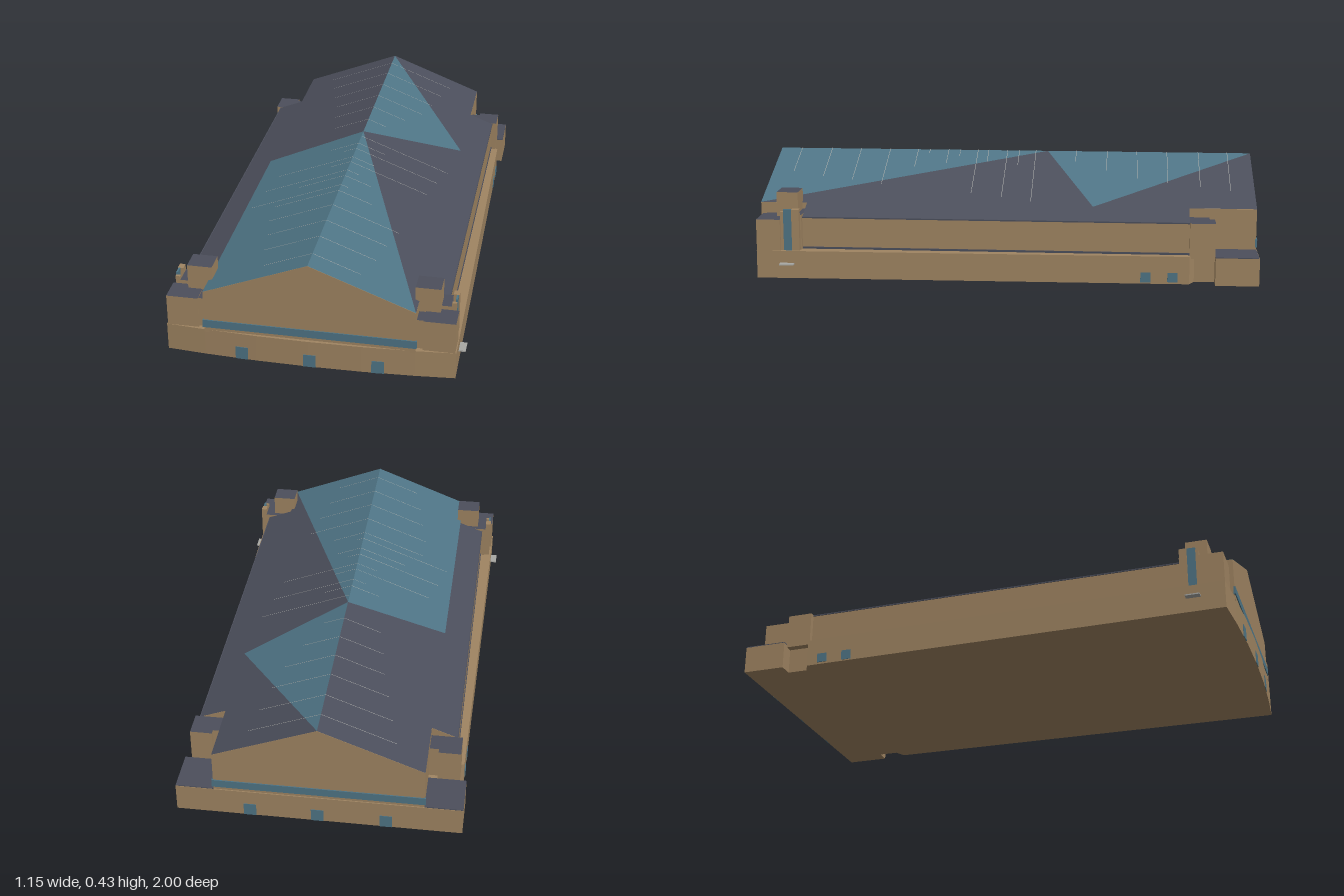
import * as THREE from 'three';

const mat = (name, color, side = THREE.FrontSide) => {
  const m = new THREE.MeshStandardMaterial({ color, side });
  m.name = name;
  return m;
};

export function createModel() {
  const root = new THREE.Group();
  root.name = 'marketHall';
  const stone = mat('tan stone', 0xa08562);
  const slate = mat('dark slate', 0x4c4f5c, THREE.DoubleSide);
  const glass = mat('teal glass', 0x4f7586, THREE.DoubleSide);
  const pale = mat('pale trim', 0xa8a8a4, THREE.DoubleSide);

  const add = (name, geo, material) => {
    const m = new THREE.Mesh(geo, material);
    m.name = name;
    root.add(m);
    return m;
  };
  // Box given by its limits, with an optional different colour on top
  const box = (name, [x0, x1], [y0, y1], [z0, z1], material, top = material) => {
    const geo = new THREE.BoxGeometry(Math.abs(x1 - x0), y1 - y0, z1 - z0);
    geo.translate((x0 + x1) / 2, (y0 + y1) / 2, (z0 + z1) / 2);
    return add(name, geo, top === material ? material : [material, material, top, material, material, material]);
  };
  const shapeOf = (pts) => new THREE.Shape(pts.map(([x, y]) => new THREE.Vector2(x, y)));
  const prism = (name, pts, z0, z1) => {
    const geo = new THREE.ExtrudeGeometry(shapeOf(pts), { depth: z1 - z0, bevelEnabled: false });
    return add(name, geo.translate(0, 0, z0), stone);
  };
  const roofY = (x) => 0.43 - 0.3875 * Math.abs(x);
  // Convex panel lying on the roof plane, from [x, z] corners
  const roofPanel = (name, pts, material, lift = 0.001) => {
    const pos = [];
    let p = pts;
    const area = pts.reduce((s, [x, z], i) => {
      const [x2, z2] = pts[(i + 1) % pts.length];
      return s + x * z2 - x2 * z;
    }, 0);
    if (area > 0) p = [...pts].reverse();
    for (let i = 1; i < p.length - 1; i++)
      for (const [x, z] of [p[0], p[i], p[i + 1]]) pos.push(x, roofY(x) + lift, z);
    const geo = new THREE.BufferGeometry();
    geo.setAttribute('position', new THREE.Float32BufferAttribute(pos, 3));
    geo.computeVertexNormals();
    return add(name, geo, material);
  };

  // Plinth with a slightly bowed front and notched rear corners
  const half = [[0.2, 0.997], [0.4, 0.987], [0.55, 0.975], [0.531, -0.73], [0.49, -0.75],
    [0.49, -0.83], [0.546, -0.83], [0.546, -1]];
  const outline = [[0, 1], ...half, ...[...half].reverse().map(([x, z]) => [-x, z])];
  const plinth = new THREE.ExtrudeGeometry(shapeOf(outline.map(([x, z]) => [x, -z])),
    { depth: 0.11, bevelEnabled: false });
  add('plinth', plinth.rotateX(-Math.PI / 2), stone);

  // Gabled hall
  const F = 0.988, B = -0.996;
  prism('hallWalls', [[-0.4, 0.1], [0.4, 0.1], [0.4, roofY(0.4)], [0, 0.43], [-0.4, roofY(0.4)]], B, F);

  // Roof panels in slate and glass
  roofPanel('leftFrontGlassRoof', [[0, F], [0.4, F], [0, -0.15]], glass);
  roofPanel('leftMiddleSlateRoof', [[0, -0.15], [0.4, F], [0.4, -0.35]], slate);
  roofPanel('leftRearGlassRoof', [[0, -0.15], [0.4, -0.35], [0, B]], glass);
  roofPanel('leftRearSlateRoof', [[0, B], [0.4, -0.35], [0.4, B]], slate);
  roofPanel('rightGlassRoof', [[0, F], [0, -0.15], [-0.4, -0.1], [-0.4, F]], glass);
  roofPanel('rightSlateRoof', [[0, -0.15], [0, B], [-0.4, B], [-0.4, -0.1]], slate);

  // Thin pale roof bars: z, left end, right end
  const bars = [[-0.9, -0.285, 0.28], [-0.78, -0.255, 0.255], [-0.65, -0.225, 0.23], [-0.525, -0.195, 0.2],
    [-0.4, -0.175, 0.145], [-0.27, -0.15, 0.08], [-0.1, 0, 0.375], [-0.03, -0.115, 0.115],
    [0.02, -0.05, 0.345], [0.1, -0.315, 0.09], [0.145, -0.085, 0.32], [0.22, -0.345, 0.05],
    [0.27, -0.19, 0.105], [0.35, -0.37, 0.03], [0.4, -0.26, 0.135], [0.52, -0.26, 0.265],
    [0.645, -0.235, 0.235], [0.77, -0.215, 0.215], [0.9, -0.185, 0.18]];
  for (const [z, a, b] of bars)
    for (const [x0, x1] of [[a, 0], [0, b]])
      if (x0 !== x1) roofPanel('roofBar', [[x0, z - 0.001], [x1, z - 0.001], [x1, z + 0.001], [x0, z + 0.001]], pale, 0.003);

  // Window band and low openings on both ends
  for (const [end, z, s] of [['front', F, 1], ['rear', B, -1]]) {
    box(end + 'WindowBand', [-0.405, 0.405], [0.123, 0.155], [z - 0.004, z + 0.004], glass);
    for (const x of [-0.257, 0.004, 0.262]) {
      const zw = s > 0 ? (Math.abs(x) > 0.1 ? 0.9945 : 1) : -1;
      const w = box(end + 'Door', [-0.024, 0.024], [0, 0.052], [-0.002, 0.002], glass);
      w.position.set(x, 0, zw);
      if (s > 0 && Math.abs(x) > 0.1) w.rotation.y = Math.sign(x) * 0.05;
    }
  }

  // Aisles, corner towers and side details, mirrored
  for (const [side, s] of [['left', 1], ['right', -1]]) {
    const X = (a, b) => (s > 0 ? [a, b] : [-b, -a]);
    const aisle = [[0.39, 0.1], [0.5, 0.1], [0.5, roofY(0.5)], [0.39, roofY(0.39)]];
    prism(side + 'Aisle', aisle.map(([x, y]) => [s * x, y]), -0.73, 0.8);
    roofPanel(side + 'AisleRoof', [[s * 0.4, -0.73], [s * 0.503, -0.73], [s * 0.503, 0.8], [s * 0.4, 0.8]], slate);
    box(side + 'EaveStrip', X(0.499, 0.503), [0.234, 0.239], [-0.73, 0.8], slate);
    box(side + 'SillStrip', X(0.499, 0.503), [0.11, 0.118], [-0.73, 0.8], slate);

    // Front tower with raised turret
    box(side + 'FrontTower', X(0.425, 0.546), [0.105, 0.235], [0.88, 0.975], stone, slate);
    box(side + 'TowerLink', X(0.395, 0.425), [0.105, 0.232], [0.88, 0.965], stone, slate);
    box(side + 'TowerBack', X(0.395, 0.518), [0.105, 0.25], [0.8, 0.88], stone, slate);
    box(side + 'Turret', X(0.385, 0.48), [0.22, 0.333], [0.82, 0.905], stone, slate);

    // Tall side window between two fins, and the canopy below
    box(side + 'WindowFin', X(0.518, 0.54), [0.11, 0.275], [0.805, 0.835], stone);
    box(side + 'WindowFin', X(0.518, 0.536), [0.11, 0.265], [0.868, 0.88], stone);
    box(side + 'TallWindow', X(0.53, 0.537), [0.11, 0.275], [0.835, 0.868], glass);
    box(side + 'Canopy', X(0.54, 0.575), [0.057, 0.062], [0.825, 0.882], pale);

    // Rear corner
    box(side + 'RearTower', X(0.435, 0.52), [0.1, 0.24], [-0.83, -0.73], stone, slate);
    box(side + 'RearLink', X(0.395, 0.435), [0.1, 0.24], [-0.81, -0.73], stone, slate);
    box(side + 'RearCornerRoof', X(0.4, 0.546), [0.109, 0.113], [-0.998, -0.83], slate);

    // Small side doors
    for (const [z, y0] of [[-0.56, 0.005], [-0.665, 0.008]])
      box(side + 'SideDoor', X(0.529, 0.535), [y0, 0.045], [z - 0.02, z + 0.02], glass);
  }
  return root;
}
